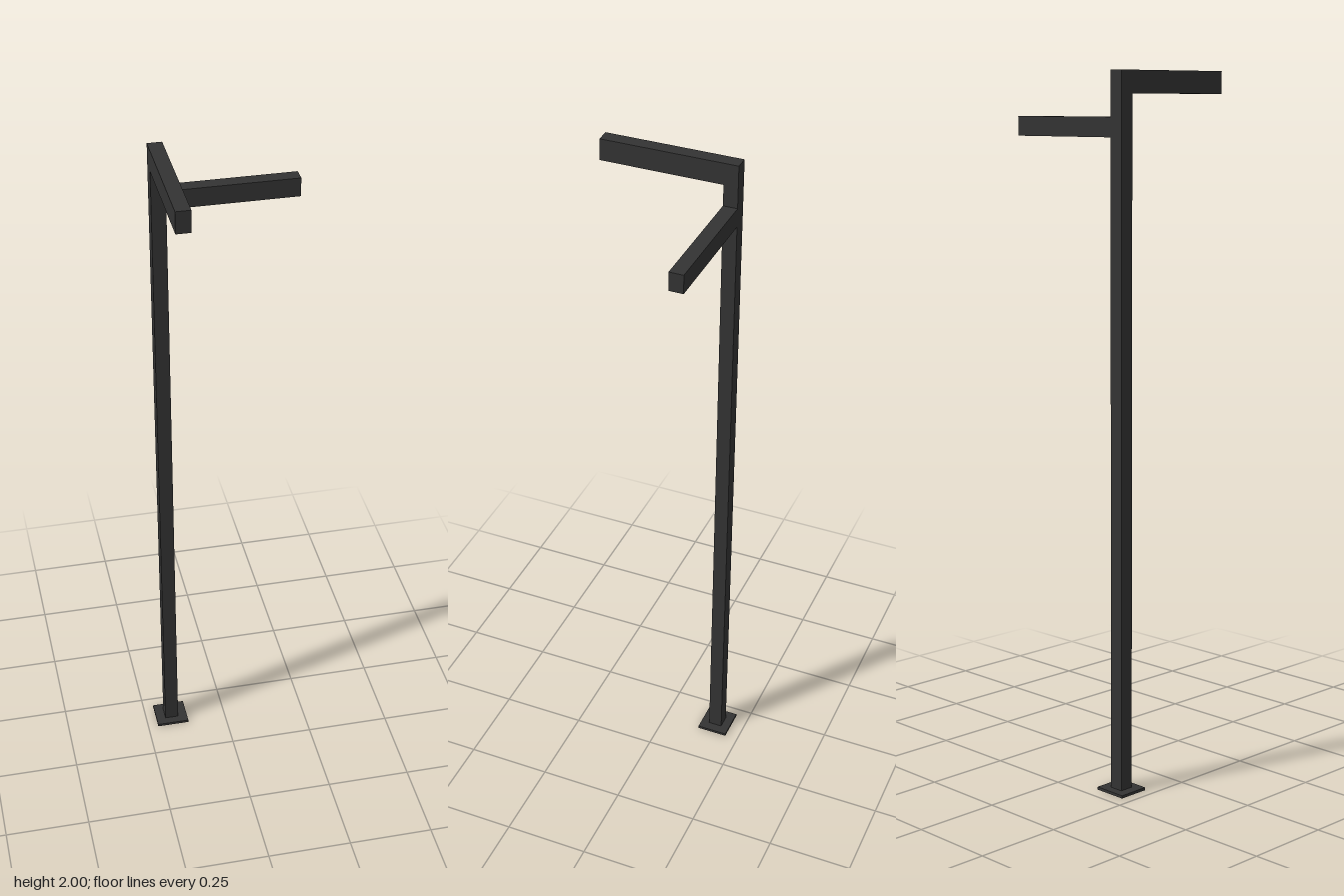
import * as THREE from 'three';

const metal = new THREE.MeshStandardMaterial({ color: 0x333333 });
const glass = new THREE.MeshStandardMaterial({ color: 0x8c8c8c });

const W = 0.041; // width of pole and arms
const PX = -0.17, PZ = -0.164; // pole axis

function box(name, w, h, d, x, y, z, material = metal) {
  const mesh = new THREE.Mesh(new THREE.BoxGeometry(w, h, d), material);
  mesh.name = name;
  mesh.position.set(x, y, z);
  return mesh;
}

// Lamp arm running along +x from its origin, underside at y = 0
function lampArm(name, length, height) {
  const arm = new THREE.Group();
  arm.name = name;
  const recess = 0.012, lamps = 4, size = 0.029;
  const start = 0.05, pitch = (length - 0.09) / (lamps - 1);

  // Lower frame with a square opening for each lamp
  const frame = new THREE.Shape([
    new THREE.Vector2(0, -W / 2), new THREE.Vector2(length, -W / 2),
    new THREE.Vector2(length, W / 2), new THREE.Vector2(0, W / 2),
  ]);
  for (let i = 0; i < lamps; i++) {
    const x = start + i * pitch, s = size / 2;
    frame.holes.push(new THREE.Path([
      new THREE.Vector2(x - s, -s), new THREE.Vector2(x - s, s),
      new THREE.Vector2(x + s, s), new THREE.Vector2(x + s, -s),
    ]));
    arm.add(box('lampLens', size, 0.003, size, x, recess - 0.0015, 0, glass));
  }
  const geometry = new THREE.ExtrudeGeometry(frame, { depth: recess, bevelEnabled: false });
  geometry.rotateX(-Math.PI / 2);
  const lower = new THREE.Mesh(geometry, metal);
  lower.name = 'lampFrame';
  arm.add(lower);

  // Solid housing above the lamps
  arm.add(box('armHousing', length, height - recess, W, length / 2, (height + recess) / 2, 0));
  return arm;
}

export function createModel() {
  const model = new THREE.Group();
  model.name = 'streetLamp';

  // Base plate and pole
  model.add(box('basePlate', 0.098, 0.008, 0.092, PX, 0.004, PZ));
  model.add(box('pole', W, 1.992, W, PX, 1.004, PZ));

  // Upper arm points forward, lower arm to the left
  const upper = lampArm('upperArm', 0.352, 0.062);
  upper.position.set(PX, 1.938, PZ + W / 2);
  upper.rotation.y = -Math.PI / 2;
  const lower = lampArm('lowerArm', 0.367, 0.054);
  lower.position.set(PX + W / 2, 1.823, PZ);
  model.add(upper, lower);

  return model;
}
